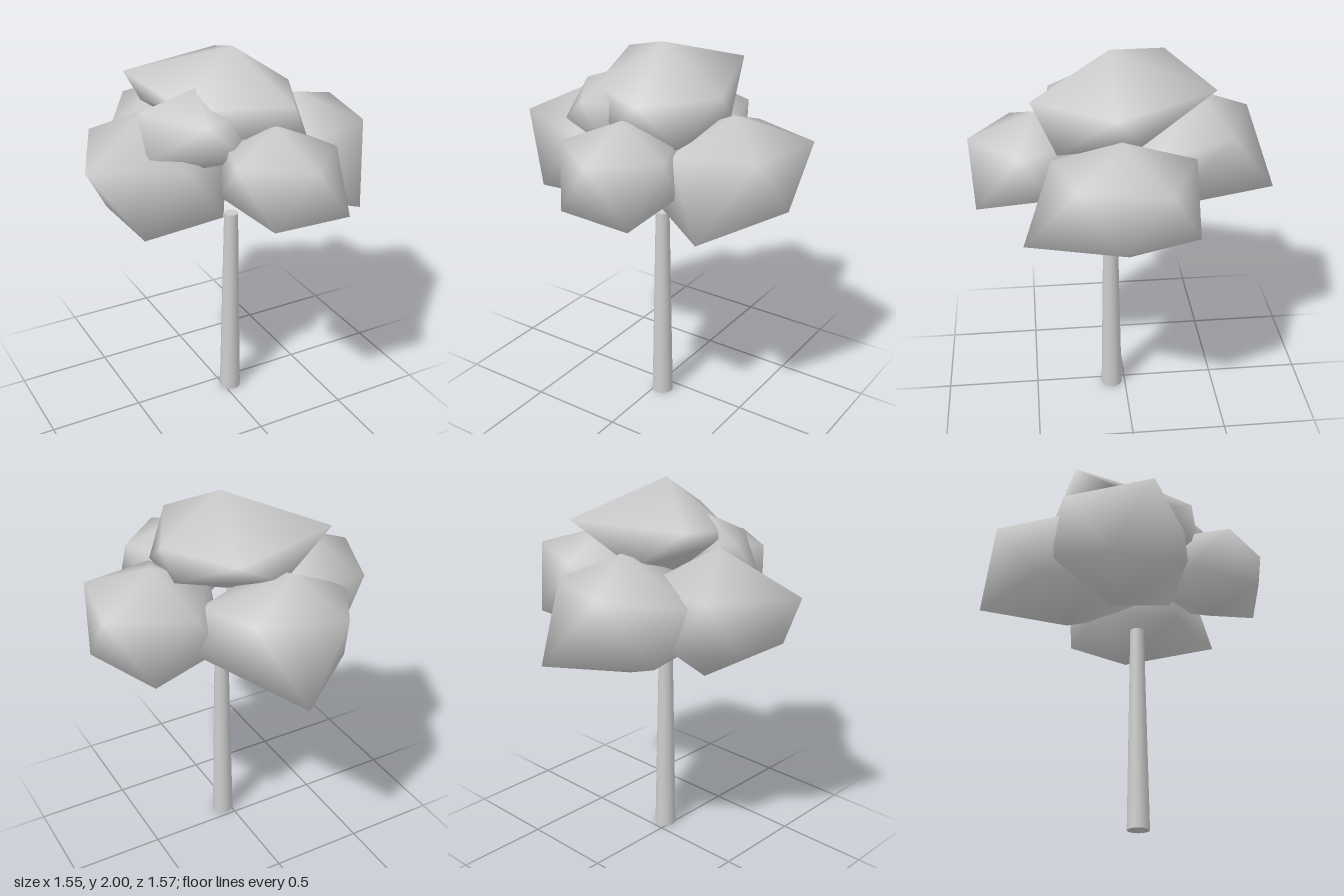
import * as THREE from 'three';

const grey = new THREE.MeshStandardMaterial({ color: 0xcccccc });
grey.name = 'plain grey';

// Leaf clump: a crown point, two interleaved rings of five, and a base point
function clump(name, crown, upper, lower, base) {
  const points = [crown, ...upper, ...lower, base];
  const index = [];
  for (let i = 0; i < 5; i++) {
    const j = (i + 1) % 5;
    const u = 1 + i, v = 1 + j, l = 6 + i, m = 6 + j;
    index.push(0, u, v, u, l, v, v, l, m, l, 11, m);
  }
  const geometry = new THREE.BufferGeometry();
  geometry.setAttribute('position', new THREE.Float32BufferAttribute(points.flat(), 3));
  geometry.setIndex(index);
  geometry.computeVertexNormals();
  const mesh = new THREE.Mesh(geometry, grey);
  mesh.name = name;
  return mesh;
}

export function createModel() {
  const tree = new THREE.Group();
  tree.name = 'tree';

  // Tapered trunk
  const trunk = new THREE.Mesh(new THREE.CylinderGeometry(0.037, 0.058, 1.097, 16), grey);
  trunk.name = 'trunk';
  trunk.position.set(0.04, 0.5485, 0.075);
  tree.add(trunk);

  // Rings run from the -x side through the front, +x side and back
  tree.add(
    clump('topLeaves', [0.04, 2, 0.075],
      [[-0.28, 1.76, 0.2], [0.16, 1.795, 0.47], [0.375, 1.77, 0.06], [0.21, 1.84, -0.43], [-0.4, 1.845, -0.255]],
      [[-0.02, 1.62, 0.41], [0.31, 1.58, 0.35], [0.36, 1.63, -0.05], [-0.1, 1.63, -0.3], [-0.39, 1.75, -0.07]],
      [0.02, 1.47, 0.05]),
    clump('frontLeaves', [0.07, 1.71, 0.455],
      [[-0.21, 1.59, 0.575], [0.095, 1.59, 0.78], [0.36, 1.585, 0.54], [0.25, 1.6, 0.24], [-0.1, 1.6, 0.25]],
      [[-0.09, 1.31, 0.73], [0.31, 1.31, 0.75], [0.33, 1.35, 0.38], [0.08, 1.35, 0.2], [-0.19, 1.37, 0.38]],
      [0.07, 1.205, 0.47]),
    clump('leftLeaves', [0.435, 1.69, 0.045],
      [[0.12, 1.55, 0.05], [0.3, 1.55, 0.38], [0.7, 1.57, 0.28], [0.775, 1.57, -0.145], [0.375, 1.56, -0.315]],
      [[0.17, 1.25, 0.3], [0.53, 1.215, 0.53], [0.77, 1.28, 0.08], [0.6, 1.25, -0.31], [0.15, 1.25, -0.15]],
      [0.435, 1.07, 0.015]),
    clump('rightLeaves', [-0.38, 1.73, 0],
      [[-0.78, 1.525, 0.15], [-0.33, 1.5, 0.32], [0, 1.5, 0.1], [-0.15, 1.55, -0.3], [-0.58, 1.55, -0.305]],
      [[-0.56, 1.19, 0.315], [-0.1, 1.18, 0.25], [-0.06, 1.2, -0.12], [-0.4, 1.3, -0.37], [-0.6, 1.22, -0.06]],
      [-0.34, 1.055, -0.04]),
    clump('backLeaves', [-0.1, 1.72, -0.385],
      [[-0.5, 1.5, -0.27], [-0.15, 1.55, 0], [0.27, 1.5, -0.12], [0.19, 1.57, -0.53], [-0.23, 1.575, -0.68]],
      [[-0.35, 1.25, -0.05], [0.05, 1.25, 0.05], [0.345, 1.3, -0.18], [0.04, 1.22, -0.785], [-0.38, 1.22, -0.45]],
      [-0.07, 1.075, -0.3]),
    clump('smallLeaves', [-0.19, 1.84, 0.13],
      [[-0.45, 1.735, 0.05], [-0.24, 1.72, 0.37], [-0.03, 1.73, 0.3], [-0.05, 1.7, 0], [-0.32, 1.73, -0.02]],
      [[-0.485, 1.545, 0.2], [-0.06, 1.55, 0.42], [0.05, 1.55, 0.15], [-0.15, 1.55, 0], [-0.45, 1.55, 0.03]],
      [-0.25, 1.45, 0.2]),
  );
  return tree;
}
